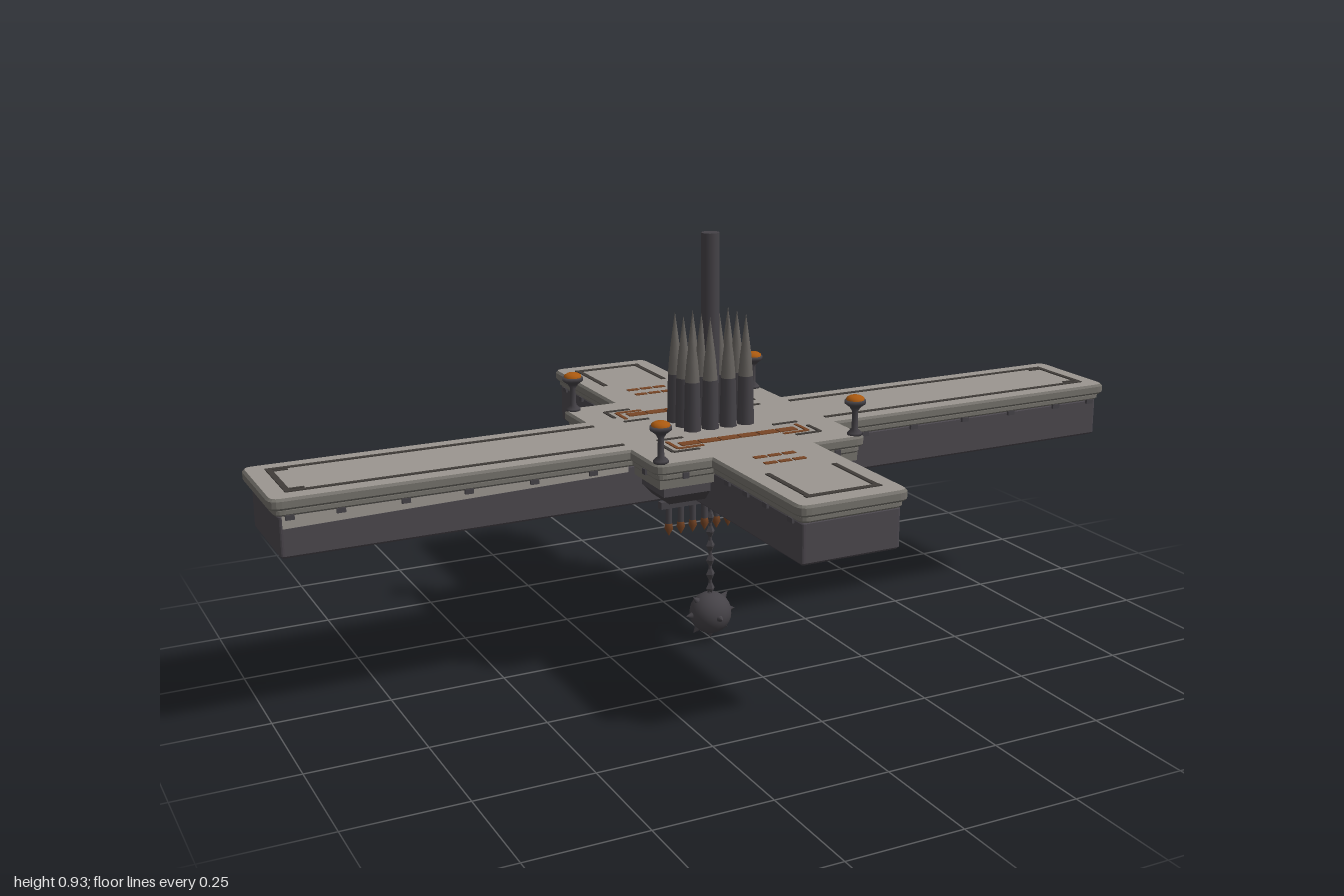
import * as THREE from 'three';

const mat = (name, color, flatShading = false) => {
  const m = new THREE.MeshStandardMaterial({ color, flatShading });
  m.name = name;
  return m;
};

export function createModel() {
  const root = new THREE.Group();
  root.name = 'hangingCrossPlatform';
  const stone = mat('paleStone', 0x9b9690);
  const trim = mat('stoneTrim', 0x74716b);
  const dark = mat('darkStone', 0x4b474d);
  const iron = mat('darkIron', 0x454247);
  const groove = mat('grooveGrey', 0x403c39);
  const tip = mat('paleSpire', 0x67635f);
  const rust = mat('rust', 0x784626);
  const fire = mat('orangeFire', 0xab5a10);

  const add = (name, geo, material, x = 0, y = 0, z = 0, parent = root) => {
    const m = new THREE.Mesh(geo, material);
    m.name = name;
    m.position.set(x, y, z);
    parent.add(m);
    return m;
  };
  const box = (name, w, h, d, material, x, y, z) =>
    add(name, new THREE.BoxGeometry(w, h, d), material, x, y, z);
  const lathe = (pts, sides = 12) =>
    new THREE.LatheGeometry(pts.map(p => new THREE.Vector2(p[0], p[1])), sides);

  // Cross outline: arm reach ax and az, arm half width w, optional middle square s
  const outline = (ax, az, w, s, r) => {
    const quarter = s > w
      ? [[ax, w, 1], [s, w, 0], [s, s, 1], [w, s, 0], [w, az, 1]]
      : [[ax, w, 1], [w, w, 0], [w, az, 1]];
    const flip = (sx, sz) => quarter.map(p => [p[0] * sx, p[1] * sz, p[2]]);
    const pts = [...flip(1, 1), ...flip(-1, 1).reverse(), ...flip(-1, -1), ...flip(1, -1).reverse()];
    const shape = new THREE.Shape();
    pts.forEach((p, i) => {
      const a = new THREE.Vector2(p[0], p[1]);
      const toward = q => new THREE.Vector2(q[0], q[1]).sub(a).setLength(p[2] ? r : 0).add(a);
      const from = toward(pts[(i + pts.length - 1) % pts.length]);
      const to = toward(pts[(i + 1) % pts.length]);
      i ? shape.lineTo(from.x, from.y) : shape.moveTo(from.x, from.y);
      if (p[2]) shape.quadraticCurveTo(a.x, a.y, to.x, to.y);
    });
    shape.closePath();
    return shape;
  };
  // Slab with one material for the flat faces and one for the rim
  const slab = (name, shape, y0, y1, bevel, face, rim) => {
    const geo = new THREE.ExtrudeGeometry(shape, {
      depth: y1 - y0 - 2 * bevel, bevelEnabled: true, bevelSize: bevel,
      bevelThickness: bevel, bevelOffset: -bevel, bevelSegments: 1, curveSegments: 4,
    });
    geo.rotateX(-Math.PI / 2);
    return add(name, geo, [face, rim], 0, y0 + bevel, 0);
  };

  // Stacked slabs of the platform
  slab('platformBody', outline(0.982, 0.598, 0.111, 0, 0.008), 0.385, 0.474, 0.005, dark, dark);
  slab('lowerTrim', outline(0.99, 0.604, 0.116, 0.242, 0.02), 0.472, 0.488, 0.004, trim, trim);
  slab('platformTop', outline(1, 0.613, 0.124, 0.25, 0.025), 0.486, 0.51, 0.005, stone, trim);

  // Pale wedge-shaped strip on the front of the right arm
  const wedge = new THREE.Shape([[-0.975, 0.446], [-0.25, 0.46], [-0.25, 0.472], [-0.975, 0.472]]
    .map(p => new THREE.Vector2(p[0], p[1])));
  add('paleStrip', new THREE.ShapeGeometry(wedge), stone, 0, 0, 0.1125);

  // Stepped supports under the middle square
  box('supportTrim', 0.47, 0.02, 0.47, trim, 0, 0.463, 0);
  box('supportBlock', 0.436, 0.026, 0.436, dark, 0, 0.442, 0);
  const taper = new THREE.CylinderGeometry(0.218 * Math.SQRT2, 0.195 * Math.SQRT2, 0.026, 4, 1).rotateY(Math.PI / 4);
  add('supportTaper', taper.toNonIndexed(), mat('supportStone', 0x454146, true), 0, 0.418, 0);

  for (const s of [-1, 1]) {
    // Sunken frames on the arms
    box('longArmFrameEnd', 0.012, 0.004, 0.17, groove, s * 0.953, 0.51, 0);
    box('shortArmFrameEnd', 0.17, 0.004, 0.012, groove, 0, 0.51, s * 0.562);
    for (const t of [-1, 1]) {
      box('longArmFrameSide', 0.71, 0.004, 0.01, groove, s * 0.6, 0.51, t * 0.08);
      box('longArmCorner', 0.03, 0.004, 0.006, groove, s * 0.932, 0.51, t * 0.066);
      box('shortArmFrameSide', 0.011, 0.004, 0.165, groove, t * 0.077, 0.51, s * 0.482);
      // Nested corner brackets on the middle square
      [[0.176, 0.177], [0.156, 0.158]].forEach(([x, z], i) => {
        box('bracketLong', 0.06, 0.004, 0.008, i ? rust : groove, s * (x - 0.03), 0.51, t * z);
        box('bracketShort', 0.008, 0.004, 0.055, i ? rust : groove, s * x, 0.51, t * (z - 0.027));
      });
      box('innerDash', 0.06, 0.004, 0.008, groove, s * 0.14, 0.51, t * 0.085);
      // Rivets under the lip
      for (const x of [0.33, 0.46, 0.6, 0.73, 0.86, 0.96])
        box('rivet', 0.018, 0.01, 0.008, iron, s * x, 0.469, t * 0.113);
      for (const z of [0.3, 0.38, 0.46, 0.56])
        box('rivet', 0.008, 0.01, 0.018, iron, t * 0.113, 0.469, s * z);
      box('supportRivet', 0.014, 0.012, 0.006, iron, s * 0.18, 0.479, t * 0.243);
      box('supportRivet', 0.006, 0.012, 0.014, iron, s * 0.243, 0.479, t * 0.18);
    }
    // Rust inlays
    for (let i = 0; i < 6; i++) box('rustInlay', 0.044, 0.004, 0.024, rust, (i - 2.5) * 0.047, 0.51, s * 0.132);
    for (const z of [0.29, 0.335])
      for (let i = -1; i <= 1; i++) box('rustDash', 0.028, 0.004, 0.013, rust, i * 0.034, 0.51, s * z);
  }

  // Corner braziers
  const bowl = lathe([[0, 0], [0.016, 0], [0.016, 0.006], [0.007, 0.014], [0.006, 0.052],
    [0.012, 0.062], [0.023, 0.07], [0.023, 0.078], [0, 0.078]]);
  const embers = lathe([[0.02, 0], [0.019, 0.006], [0.012, 0.01], [0, 0.011]]);
  for (const x of [-0.23, 0.23]) for (const z of [-0.23, 0.23]) {
    const brazier = new THREE.Group();
    brazier.name = 'brazier';
    brazier.position.set(x, 0.509, z);
    root.add(brazier);
    add('brazierStand', bowl, iron, 0, 0, 0, brazier);
    add('embers', embers, fire, 0, 0.077, 0, brazier);
  }

  // Spire cluster around the central pillar
  const spireBase = lathe([[0.02, 0], [0.019, 0.03], [0.017, 0.11]], 8);
  const spireTip = lathe([[0.017, 0], [0.013, 0.045], [0.007, 0.09], [0, 0.138]], 8);
  for (const x of [-0.065, -0.022, 0.022, 0.065]) for (const z of [-0.042, 0, 0.042]) {
    add('spireBase', spireBase, iron, x, 0.508, z);
    add('spireTip', spireTip, tip, x, 0.618, z);
  }
  add('centralPillar', new THREE.CylinderGeometry(0.02, 0.02, 0.43, 12), iron, 0, 0.715, 0);

  // Hanging grate with rusty points
  box('grateBar', 0.25, 0.016, 0.016, iron, 0, 0.335, 0);
  for (let i = 0; i < 8; i++) {
    const x = (i - 3.5) * 0.0295;
    add('grateRod', new THREE.CylinderGeometry(0.008, 0.008, 0.1, 8), iron, x, 0.338, 0);
    add('gratePoint', lathe([[0, -0.03], [0.01, -0.012], [0.008, 0]], 8), rust, x, 0.291, 0);
  }

  // Chain socket, chain and spiked ball
  add('chainSocket', lathe([[0, 0], [0.034, 0], [0.052, 0.035], [0.052, 0.06]], 8), dark, 0, 0.33, 0);
  for (let i = 0; i < 7; i++) {
    const link = add('chainLink', new THREE.OctahedronGeometry(1), iron, 0, 0.12 + i * 0.034, 0);
    link.scale.set(0.011, 0.022, 0.011);
  }
  add('chainCore', new THREE.CylinderGeometry(0.004, 0.004, 0.24, 6), iron, 0, 0.22, 0);
  add('ball', new THREE.SphereGeometry(0.048, 20, 14), iron, 0, 0.062, 0);
  const up = new THREE.Vector3(0, 1, 0);
  const spikeDirs = [new THREE.Vector3(0, 0, 1), new THREE.Vector3(0, 0, -1)];
  for (let i = 0; i < 8; i++)
    spikeDirs.push(new THREE.Vector3(Math.cos(i * Math.PI / 4), Math.sin(i * Math.PI / 4), 0));
  for (const dir of spikeDirs) {
    const spike = add('ballSpike', new THREE.ConeGeometry(0.01, 0.02, 8), iron);
    spike.position.copy(dir).multiplyScalar(0.052).add(new THREE.Vector3(0, 0.062, 0));
    spike.quaternion.setFromUnitVectors(up, dir);
  }
  return root;
}
